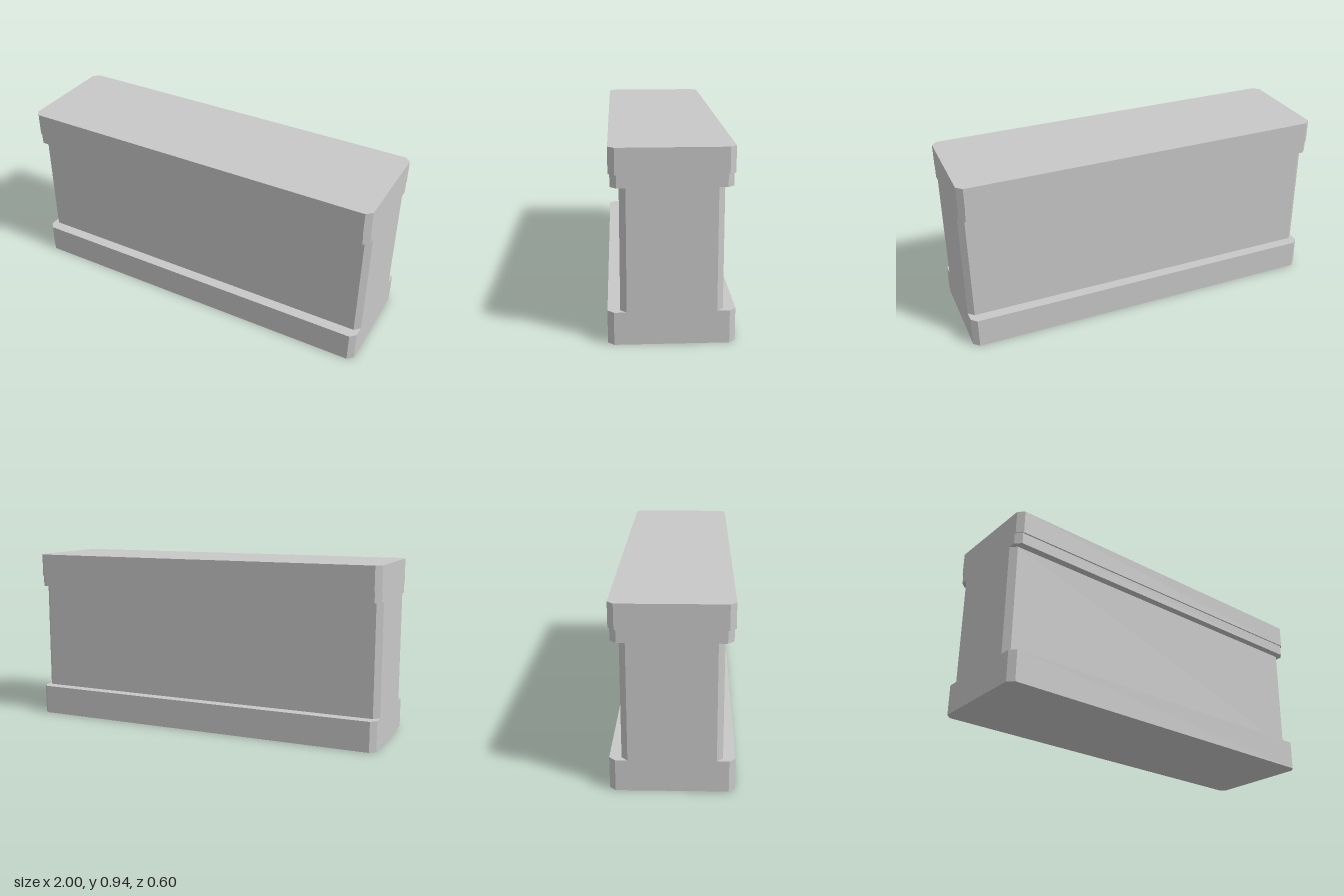
import * as THREE from 'three';

const CHAMFER = 0.03;

// Rectangular block with its four upright corners cut at 45 degrees
function chamferedBlock(name, halfDepth, bottom, top, material) {
  const x = 1, z = halfDepth, c = CHAMFER;
  const outline = new THREE.Shape([
    [x - c, -z], [x, c - z], [x, z - c], [x - c, z],
    [c - x, z], [-x, z - c], [-x, c - z], [c - x, -z],
  ].map(([px, pz]) => new THREE.Vector2(px, pz)));
  const geometry = new THREE.ExtrudeGeometry(outline, { depth: top - bottom, bevelEnabled: false });
  geometry.rotateX(-Math.PI / 2).translate(0, bottom, 0);
  const mesh = new THREE.Mesh(geometry, material);
  mesh.name = name;
  return mesh;
}

export function createModel() {
  const stone = new THREE.MeshStandardMaterial({ color: 0xc8c8c8 });
  stone.name = 'pale grey stone';

  const group = new THREE.Group();
  group.name = 'pedestal';
  // Name, half depth, bottom and top of each course
  const courses = [
    ['plinth', 0.299, 0, 0.16],
    ['body', 0.24, 0.16, 0.751],
    ['capMoulding', 0.281, 0.751, 0.811],
    ['capSlab', 0.289, 0.811, 0.935],
  ];
  for (const [name, halfDepth, bottom, top] of courses) {
    group.add(chamferedBlock(name, halfDepth, bottom, top, stone));
  }
  return group;
}
